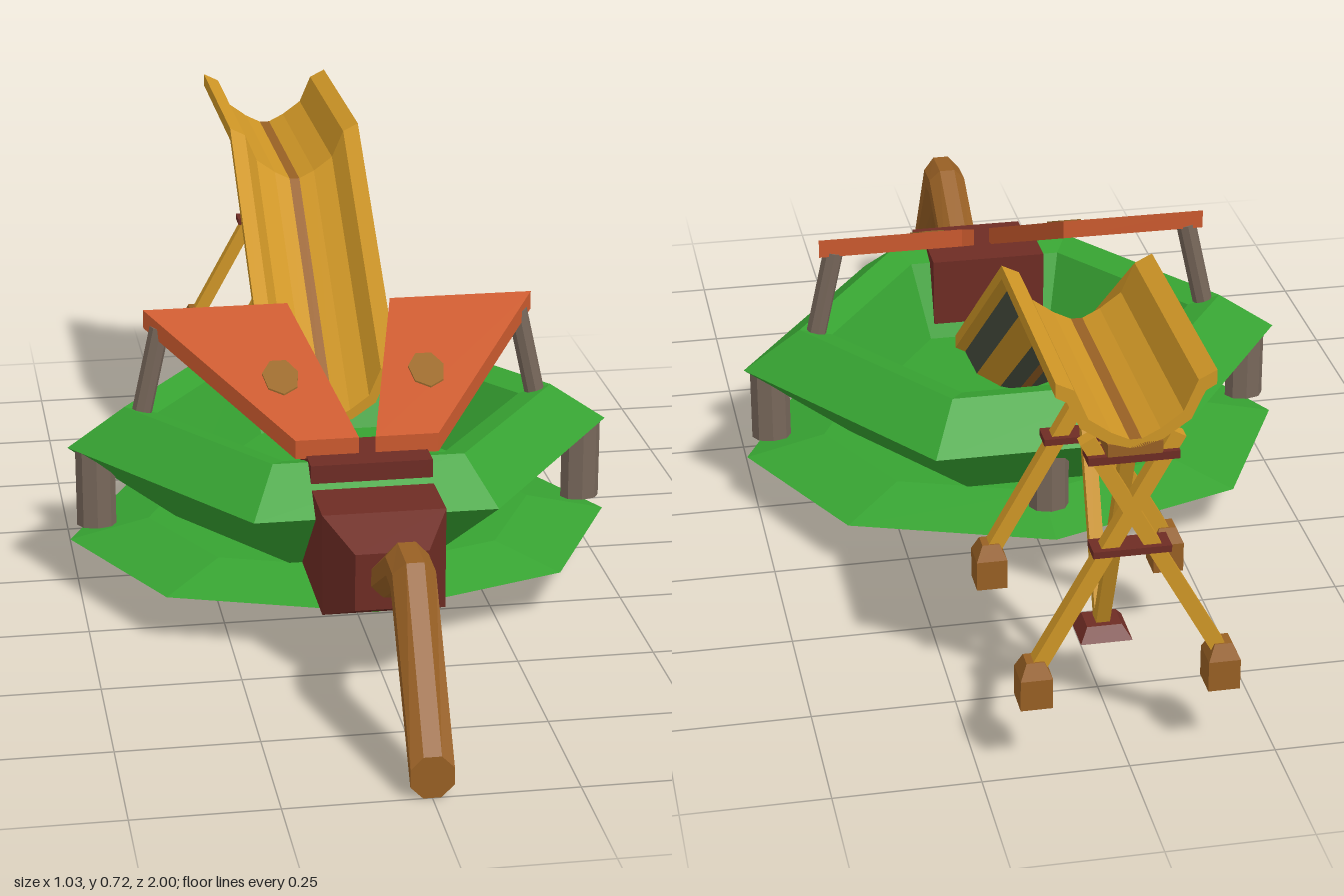
import * as THREE from 'three';

const mat = (name, color, opts = {}) => {
  const m = new THREE.MeshStandardMaterial({ color, flatShading: true, ...opts });
  m.name = name;
  return m;
};

// Flat-faced geometry from corner loops (triangles, quads or convex polygons)
function faces(list) {
  const pos = [];
  for (const f of list)
    for (let i = 1; i < f.length - 1; i++) pos.push(...f[0], ...f[i], ...f[i + 1]);
  const g = new THREE.BufferGeometry();
  g.setAttribute('position', new THREE.Float32BufferAttribute(pos, 3));
  g.computeVertexNormals();
  return g;
}

// Closed solid through matching cross-sections
function loft(rings) {
  const list = [[...rings[0]].reverse(), rings[rings.length - 1]];
  for (let k = 0; k < rings.length - 1; k++) {
    const a = rings[k], b = rings[k + 1], n = a.length;
    for (let i = 0; i < n; i++) list.push([a[i], a[(i + 1) % n], b[(i + 1) % n], b[i]]);
  }
  return faces(list);
}

export function createModel() {
  const root = new THREE.Group();
  root.name = 'waterSlidePool';
  const green = mat('green', 0x37a332);
  const orange = mat('orange red', 0xcb5a2e);
  const red = mat('dark red', 0x6e2c24);
  const ochre = mat('ochre', 0xcf9626);
  const brown = mat('brown', 0x986024);
  const grey = mat('post grey', 0x77675a);
  const slate = mat('dark slate', 0x4a5142);
  const olive = mat('olive patch', 0x9c6a2c);

  const add = (name, geo, material, parent = root) => {
    const m = new THREE.Mesh(geo, material);
    m.name = name;
    parent.add(m);
    return m;
  };
  const box = (name, material, w, h, d, x, y, z) =>
    add(name, new THREE.BoxGeometry(w, h, d), material).position.set(x, y, z);
  // Straight member between two points
  const bar = (name, material, a, b, geo) => {
    const p = new THREE.Vector3(...a), q = new THREE.Vector3(...b);
    const m = add(name, geo(p.distanceTo(q)), material);
    m.position.copy(p).lerp(q, 0.5);
    m.quaternion.setFromUnitVectors(new THREE.Vector3(0, 1, 0), q.sub(p).normalize());
    return m;
  };
  const rectXZ = (w, d, x, y, z) =>
    [[x - w, y, z + d], [x + w, y, z + d], [x + w, y, z - d], [x - w, y, z - d]];
  const rectXY = (w, y0, y1, z) => [[-w, y0, z], [w, y0, z], [w, y1, z], [-w, y1, z]];

  // Octagonal base plate with sloping edge
  const octagon = (r, y) => Array.from({ length: 8 }, (_, i) => {
    const t = i * Math.PI / 4;
    return [Math.sin(t) * 0.515 * r, y, 0.03 + Math.cos(t) * 0.425 * r];
  });
  add('basePlate', loft([octagon(1, 0.095), octagon(0.71, 0.13)]), green);

  // Hexagonal basin with rim and sunken floor
  const plan = [[-0.22, 0.425], [0.22, 0.425], [0.515, 0], [0.22, -0.425], [-0.22, -0.425], [-0.515, 0]];
  const hexagon = ([s, y]) => plan.map(([x, z]) => [x * s, y, 0.03 + z * s]);
  const basinProfile = [[0.61, 0.13], [1, 0.28], [0.79, 0.355], [0.67, 0.34], [0.54, 0.2]];
  add('basin', loft(basinProfile.map(hexagon)), green);

  // Legs under the basin
  for (const [x, z, wx, wz] of [[0.465, 0.045, 1, 0.7], [-0.465, 0.045, 1, 0.7], [0, -0.325, 1, 0.75]]) {
    const leg = add('basinLeg', new THREE.CylinderGeometry(0.037, 0.037, 0.15, 8), grey);
    leg.position.set(x, 0.205, z);
    leg.scale.set(wx, 1, wz);
  }

  // Sloping panels, their patches and leaning posts
  for (const s of [1, -1]) {
    const side = (pts) => {
      const p = pts.map(([x, y, z]) => [x * s, y, z]);
      return s > 0 ? p : p.reverse();
    };
    const top = [[0.015, 0.39, 0.348], [0.13, 0.39, 0.348], [0.367, 0.54, 0.02], [0.097, 0.54, 0.02]];
    const bottom = top.map(([x, y, z]) => [x, y - 0.035, z]);
    add('rampPanel', loft([side(bottom), side(top)]), orange);

    const patch = (lift) => side(Array.from({ length: 7 }, (_, i) => {
      const t = i * Math.PI * 2 / 7;
      const z = 0.2 + Math.cos(t) * 0.042;
      return [0.135 + Math.sin(t) * 0.034, 0.54 - (z - 0.02) * 0.457 + lift, z];
    }));
    add('panelPatch', loft([patch(-0.003), patch(0.003)]), olive);

    bar('panelPost', grey, [0.378 * s, 0.33, 0.035], [0.338 * s, 0.51, 0.035],
      (h) => new THREE.CylinderGeometry(0.019, 0.019, h, 8));
  }

  // Pump housing and the block inside the basin
  add('pumpHousing', loft([rectXY(0.11, 0.13, 0.318, 0.29), rectXY(0.11, 0.13, 0.318, 0.53),
    rectXY(0.065, 0.17, 0.275, 0.612)]), red);
  box('innerBlock', red, 0.22, 0.18, 0.13, 0, 0.27, 0.335);

  // Bent inlet pipe: z, y, lean, half height of each section
  const pipe = [[0.56, 0.2, 0, 0.037], [0.755, 0.313, -0.01, 0.037],
    [0.81, 0.309, 0.02, 0.038], [1, 0.038, 0, 0.037]];
  add('inletPipe', loft(pipe.map(([z, y, lean, h]) => Array.from({ length: 8 }, (_, i) => {
    const t = (i + 0.5) * Math.PI / 4, k = 1 / Math.cos(Math.PI / 8);
    return [Math.cos(t) * 0.037 * k, y + Math.sin(t) * h * k, z + Math.sin(t) * lean];
  }))), brown);

  // Slide trough: level run, then a straight descent
  const mirrored = (half) => [...half.map(([x, y]) => [-x, y]).reverse(), ...half];
  const inner = mirrored([[0.01, 0.615], [0.04, 0.63], [0.077, 0.657], [0.1, 0.71], [0.13, 0.725]]);
  const outer = mirrored([[0.01, 0.6], [0.045, 0.611], [0.09, 0.642], [0.112, 0.69], [0.13, 0.7]]);
  const stations = [[-1, 0], [-0.55, 0], [-0.09, -0.35]];
  const at = ([x, y], [z, dy]) => [x, y + dy, z];
  const groups = { trough: [], troughUnderside: [], troughCentre: [] };
  const run = (key, p, q) => {
    for (let k = 0; k < 2; k++) {
      const b = stations[k], f = stations[k + 1];
      groups[key].push([at(p, b), at(q, b), at(q, f), at(p, f)]);
    }
  };
  for (let i = 0; i < 9; i++) {
    run(i === 4 ? 'troughCentre' : i % 2 ? 'troughUnderside' : 'trough', outer[i], outer[i + 1]);
    run(i === 4 ? 'troughCentre' : 'trough', inner[i + 1], inner[i]);
    const end = [outer[i], outer[i + 1], inner[i + 1], inner[i]];
    groups.trough.push(end.map((p) => at(p, stations[2])), end.map((p) => at(p, stations[0])).reverse());
  }
  run('trough', outer[9], inner[9]);
  run('trough', inner[0], outer[0]);
  const paint = { trough: ochre, troughUnderside: slate, troughCentre: brown };
  for (const key in groups) add(key, faces(groups[key]), paint[key]);
  box('troughBeam', brown, 0.09, 0.022, 0.45, 0, 0.597, -0.775);

  // Crossed support frames with feet and ties
  for (const z of [-0.577, -0.972]) {
    for (const s of [1, -1]) {
      bar('supportLeg', ochre, [0.158 * s, 0.19, z], [-0.075 * s, 0.61, z],
        (h) => new THREE.BoxGeometry(0.026, h, 0.026));
      const x = 0.158 * s;
      add('supportFoot', loft([rectXZ(0.027, 0.028, x, 0.13, z), rectXZ(0.027, 0.028, x, 0.185, z),
        rectXZ(0.015, 0.016, x, 0.212, z)]), brown);
    }
    box('upperTie', red, 0.15, 0.014, 0.045, 0, 0.577, z);
    box('lowerTie', red, 0.13, 0.012, 0.045, 0, 0.406, z);
  }

  // V-shaped brace between the frames
  for (const z of [-0.59, -0.955])
    bar('brace', ochre, [0, 0.585, z], [0, 0.145, -0.772], (h) => new THREE.BoxGeometry(0.024, h, 0.02));
  add('bracePlate', loft([rectXZ(0.045, 0.045, 0, 0.13, -0.772), rectXZ(0.03, 0.025, 0, 0.152, -0.772)]), red);

  return root;
}
